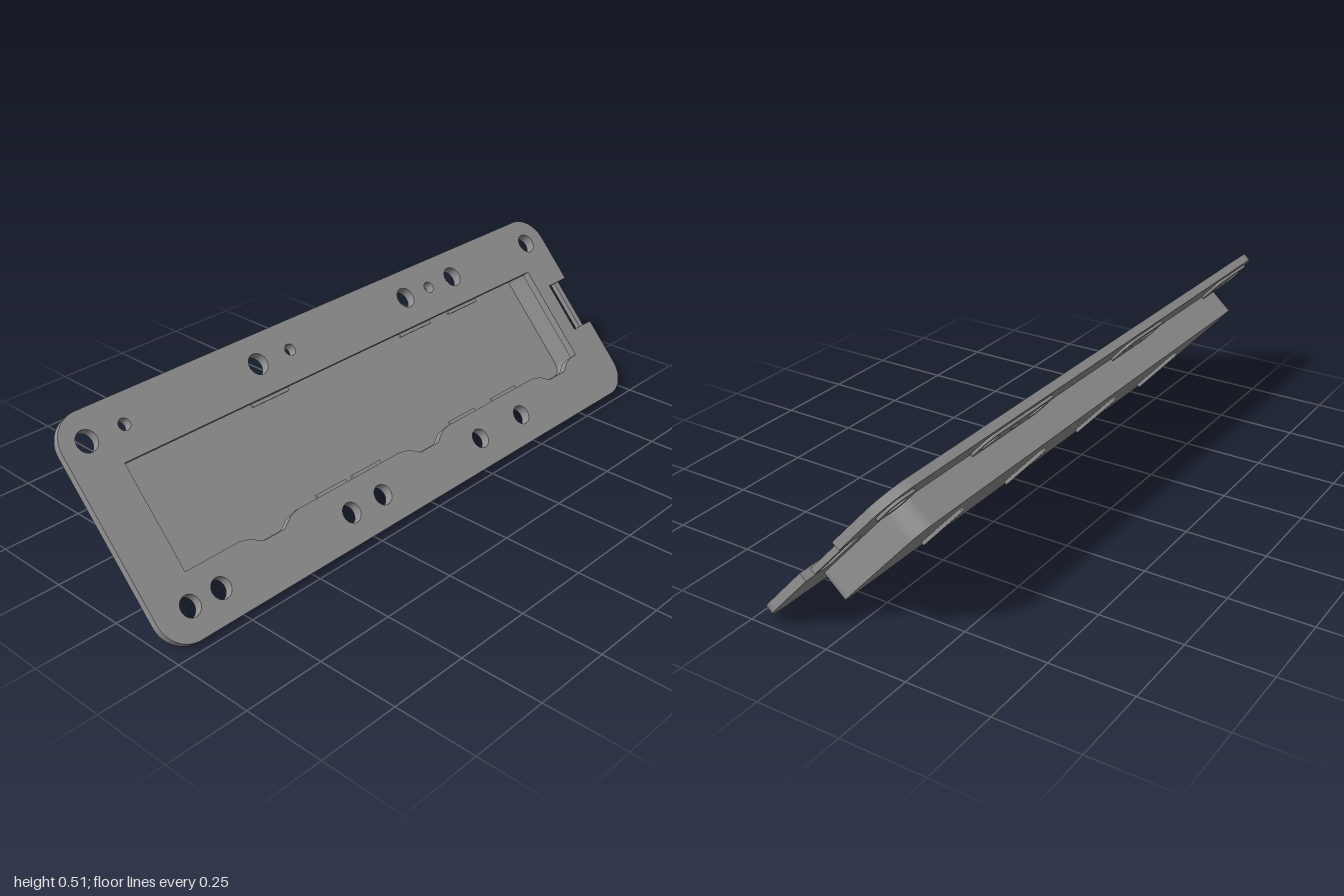
import * as THREE from 'three';

const material = new THREE.MeshStandardMaterial({ color: 0x929292 });

// Hole positions along z and radii, on the upper (-) and lower (+) flange
const bolts = [
  ...[0.92, 0.325, -0.3, -0.525, -0.915].map((z) => [-0.25, z, 0.032]),
  ...[0.8, 0.2, -0.41].map((z) => [-0.25, z, 0.018]),
  ...[0.89, 0.785, 0.295, 0.165, -0.28, -0.485].map((z) => [0.245, z, 0.031]),
];

// All parts are drawn flat: shape x = across the plate, shape y = -z, extrusion = plate normal.
function roundedRect(shape, xMin, xMax, yMin, yMax, r) {
  shape.moveTo(xMin + r, yMin);
  shape.lineTo(xMax - r, yMin);
  shape.absarc(xMax - r, yMin + r, r, -Math.PI / 2, 0);
  shape.lineTo(xMax, yMax - r);
  shape.absarc(xMax - r, yMax - r, r, 0, Math.PI / 2);
  shape.lineTo(xMin + r, yMax);
  shape.absarc(xMin + r, yMax - r, r, Math.PI / 2, Math.PI);
  shape.lineTo(xMin, yMin + r);
  shape.absarc(xMin + r, yMin + r, r, Math.PI, Math.PI * 1.5);
  return shape;
}

// Plate outline with a notch in the back end
function plateOutline(halfW, halfL, r) {
  const s = new THREE.Shape();
  s.moveTo(-halfW + r, -halfL);
  s.lineTo(halfW - r, -halfL);
  s.absarc(halfW - r, -halfL + r, r, -Math.PI / 2, 0);
  s.lineTo(halfW, halfL - r);
  s.absarc(halfW - r, halfL - r, r, 0, Math.PI / 2);
  s.lineTo(0.085, halfL);
  s.lineTo(0.085, 0.91);
  s.lineTo(-0.085, 0.91);
  s.lineTo(-0.085, halfL);
  s.lineTo(-halfW + r, halfL);
  s.absarc(-halfW + r, halfL - r, r, Math.PI / 2, Math.PI);
  s.lineTo(-halfW, -halfL + r);
  s.absarc(-halfW + r, -halfL + r, r, Math.PI, Math.PI * 1.5);
  return s;
}

// Main opening, with tapered cutouts along its lower edge
function openingPath() {
  const p = new THREE.Path();
  p.moveTo(-0.158, -0.855);
  p.lineTo(0.162, -0.855);
  for (const y of [-0.56, 0.08, 0.72]) {
    p.lineTo(0.162, y - 0.11);
    p.lineTo(0.17, y - 0.075);
    p.lineTo(0.192, y - 0.04);
    p.lineTo(0.192, y + 0.04);
    p.lineTo(0.17, y + 0.075);
    p.lineTo(0.162, y + 0.11);
  }
  p.lineTo(0.162, 0.85);
  p.lineTo(-0.158, 0.85);
  p.closePath();
  return p;
}

// Cut the bolt holes that fall on one side and within a z range
function cutBolts(shape, side, zMin, zMax) {
  for (const [x, z, r] of bolts) {
    if (x * side > 0 && z > zMin && z < zMax)
      shape.holes.push(new THREE.Path().absarc(x, -z, r, 0, Math.PI * 2, true));
  }
  return shape;
}

function slab(name, shape, bottom, top) {
  const geo = new THREE.ExtrudeGeometry(shape, { depth: top - bottom, bevelEnabled: false, curveSegments: 16 });
  geo.translate(0, 0, bottom);
  const mesh = new THREE.Mesh(geo, material);
  mesh.name = name;
  return mesh;
}

function box(name, w, l, h, x, z, n) {
  const mesh = new THREE.Mesh(new THREE.BoxGeometry(w, l, h), material);
  mesh.name = name;
  mesh.position.set(x, -z, n);
  return mesh;
}

export function createModel() {
  const model = new THREE.Group();
  model.name = 'trayPanel';
  const panel = new THREE.Group();
  panel.name = 'tiltedPanel';
  model.add(panel);

  // Flange plate
  const plate = plateOutline(0.334, 1, 0.09);
  plate.holes.push(openingPath());
  cutBolts(plate, -1, -1, 1);
  cutBolts(plate, 1, -1, 1);
  panel.add(slab('flangePlate', plate, -0.026, 0));

  // Raised pads under each group of bolt holes
  const pads = [
    [-1, 0.75, 0.965], [-1, 0.15, 0.375], [-1, -0.575, -0.25], [-1, -0.965, -0.865],
    [1, 0.735, 0.94], [1, 0.115, 0.345], [1, -0.535, -0.23],
  ];
  for (const [side, zMin, zMax] of pads) {
    const [xMin, xMax] = side < 0 ? [-0.3, -0.2] : [0.2, 0.3];
    const pad = roundedRect(new THREE.Shape(), xMin, xMax, -zMax, -zMin, 0.03);
    panel.add(slab('boltPad', cutBolts(pad, side, zMin, zMax), -0.034, -0.026));
  }

  // Bar across the end notch
  panel.add(box('notchBar', 0.18, 0.02, 0.018, 0, -0.955, -0.015));

  // Hollow tray: wall ring and floor
  const ring = roundedRect(new THREE.Shape(), -0.204, 0.204, -0.88, 0.87, 0.05);
  ring.holes.push(roundedRect(new THREE.Path(), -0.19, 0.19, -0.865, 0.856, 0.036));
  panel.add(slab('trayWall', ring, -0.105, -0.026));
  const floor = roundedRect(new THREE.Shape(), -0.204, 0.204, -0.88, 0.87, 0.05);
  panel.add(slab('trayFloor', floor, -0.115, -0.105));

  // Clip tabs below the lip
  for (const z of [0.325, -0.295, -0.525])
    panel.add(box('upperClip', 0.045, 0.14, 0.008, -0.17, z, -0.03));
  for (const z of [0.295, 0.15, -0.285, -0.49])
    panel.add(box('lowerClip', 0.04, 0.12, 0.008, 0.172, z, -0.03));

  // Thin cross ribs under the tray
  for (const z of [0.6, 0.2, -0.2, -0.6])
    panel.add(box('trayRib', 0.195, 0.01, 0.012, 0.003, z, -0.12));

  // Tilt the whole panel
  const across = new THREE.Vector3(0.672, -0.741, 0).normalize();
  const normal = new THREE.Vector3(0.741, 0.672, 0).normalize();
  const along = new THREE.Vector3(0, 0, -1);
  panel.quaternion.setFromRotationMatrix(new THREE.Matrix4().makeBasis(across, along, normal));
  panel.position.set(0.01, 0.265, 0);
  return model;
}
